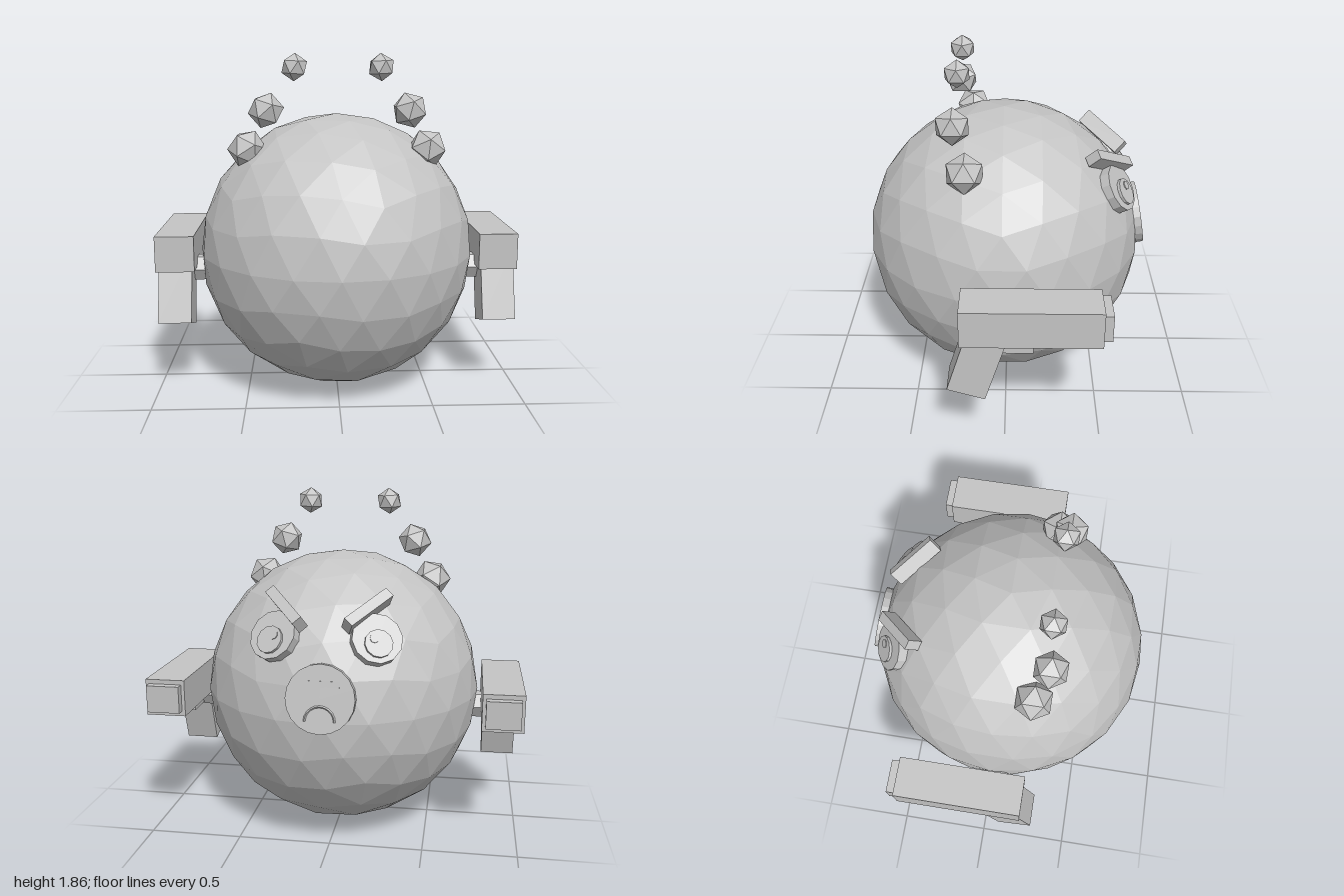
import * as THREE from 'three';

const grey = new THREE.MeshStandardMaterial({ color: 0xc4c4c4, flatShading: true });
grey.name = 'plain grey';

const CENTER = new THREE.Vector3(0, 0.7645, 0.015);
const RADIUS = 0.7645;

function add(parent, name, geometry, x = 0, y = 0, z = 0) {
  const mesh = new THREE.Mesh(geometry, grey);
  mesh.name = name;
  mesh.position.set(x, y, z);
  parent.add(mesh);
  return mesh;
}

// Icosahedron standing on a corner; each step halves every edge
function icoSphere(radius, steps) {
  const verts = [0, 1, 0];
  for (let ring = 0; ring < 2; ring++) {
    for (let i = 0; i < 5; i++) {
      const a = (i + ring * 0.5) * Math.PI * 0.4;
      verts.push(Math.cos(a) * 0.8944, ring ? -0.4472 : 0.4472, Math.sin(a) * 0.8944);
    }
  }
  verts.push(0, -1, 0);
  const faces = [];
  for (let i = 0; i < 5; i++) {
    const j = (i + 1) % 5;
    faces.push(0, 1 + j, 1 + i, 1 + i, 1 + j, 6 + i, 6 + i, 1 + j, 6 + j, 11, 6 + i, 6 + j);
  }
  let geo = new THREE.PolyhedronGeometry(verts, faces, radius, 0);
  for (let s = 0; s < steps; s++) {
    const p = Array.from(geo.attributes.position.array);
    geo = new THREE.PolyhedronGeometry(p, p.map((_, i) => i).slice(0, p.length / 3), radius, 1);
  }
  return geo;
}

// Disc whose flat face looks along +z
const disc = (r, depth, sides) => new THREE.CylinderGeometry(r, r, depth, sides).rotateX(Math.PI / 2);

// Group sitting on the body, with local +z pointing outwards
function surfaceGroup(parent, name, dx, dy, dz, distance) {
  const g = new THREE.Group();
  const n = new THREE.Vector3(dx, dy, dz).normalize();
  g.name = name;
  g.position.copy(CENTER).addScaledVector(n, distance);
  g.lookAt(g.position.clone().add(n));
  parent.add(g);
  return g;
}

function addEye(parent, s) {
  const eye = surfaceGroup(parent, 'eye', s * 0.255, 0.4, -0.605, 0.765);
  add(eye, 'eyeball', disc(0.13, 0.06, 12));
  add(eye, 'pupil', disc(0.072, 0.03, 12), 0, -0.03, 0.03);
  add(eye, 'eyeHighlight', disc(0.024, 0.02, 8), s * 0.02, -0.005, 0.04);

  // Angry brow, low at the inner end
  const brow = add(parent, 'eyebrow', new THREE.BoxGeometry(0.29, 0.055, 0.085), s * 0.205, 1.298, -0.545);
  const along = new THREE.Vector3(s * 0.19, 0.125, 0.205).normalize();
  const up = new THREE.Vector3(s * 0.205, 0.53, -0.56).cross(along).normalize();
  const out = along.clone().cross(up);
  brow.quaternion.setFromRotationMatrix(new THREE.Matrix4().makeBasis(along, up, out));
}

function addBlaster(parent, s) {
  const gun = new THREE.Group();
  gun.name = s > 0 ? 'leftBlaster' : 'rightBlaster';
  parent.add(gun);
  const x = s * 0.893;
  add(gun, 'barrel', new THREE.BoxGeometry(0.214, 0.199, 0.695), x, 0.7765, -0.13);
  add(gun, 'muzzle', new THREE.BoxGeometry(0.178, 0.147, 0.08), x, 0.7785, -0.481);
  add(gun, 'grip', new THREE.BoxGeometry(0.182, 0.4, 0.199), x, 0.569, 0.131).rotation.x = -0.3;
  add(gun, 'trigger', new THREE.BoxGeometry(0.09, 0.065, 0.18), x, 0.632, -0.053);
  // Short six-sided mount joining gun to body
  const mount = new THREE.CylinderGeometry(0.075, 0.075, 0.16, 6).rotateZ(Math.PI / 2);
  add(gun, 'mount', mount.rotateX(Math.PI / 2 * (mountTurned(mount) ? 0 : 1)), s * 0.76, 0.662, 0.037);
}

// True when the mount's widest corners already lie along z
function mountTurned(geo) {
  geo.computeBoundingBox();
  const b = geo.boundingBox;
  return b.max.z - b.min.z > b.max.y - b.min.y;
}

export function createModel() {
  const model = new THREE.Group();
  model.name = 'roundCreature';

  add(model, 'body', icoSphere(RADIUS, 2), CENTER.x, CENTER.y, CENTER.z);

  // Floating horn beads: x, y, z, radius, lean
  const beads = [
    [0.485, 1.352, 0.205, 0.106, 0.45],
    [0.378, 1.56, 0.268, 0.096, 0.3],
    [0.228, 1.783, 0.248, 0.073, 0.05],
  ];
  for (const s of [1, -1]) {
    for (const [x, y, z, r, lean] of beads) {
      add(model, 'hornBead', icoSphere(r, 0), s * x, y, z).rotation.z = s * lean;
    }
    addEye(model, s);
    addBlaster(model, s);
  }

  // Round mouth with upper teeth and a frown
  const mouth = surfaceGroup(model, 'mouth', 0, 0.13, -0.76, 0.752);
  add(mouth, 'mouthDisc', disc(0.174, 0.05, 20));
  add(mouth, 'teeth', new THREE.BoxGeometry(0.19, 0.03, 0.01), 0, 0.075, 0.023);
  add(mouth, 'frown', new THREE.TorusGeometry(0.075, 0.008, 4, 10, Math.PI), 0, -0.11, 0.023);

  return model;
}
